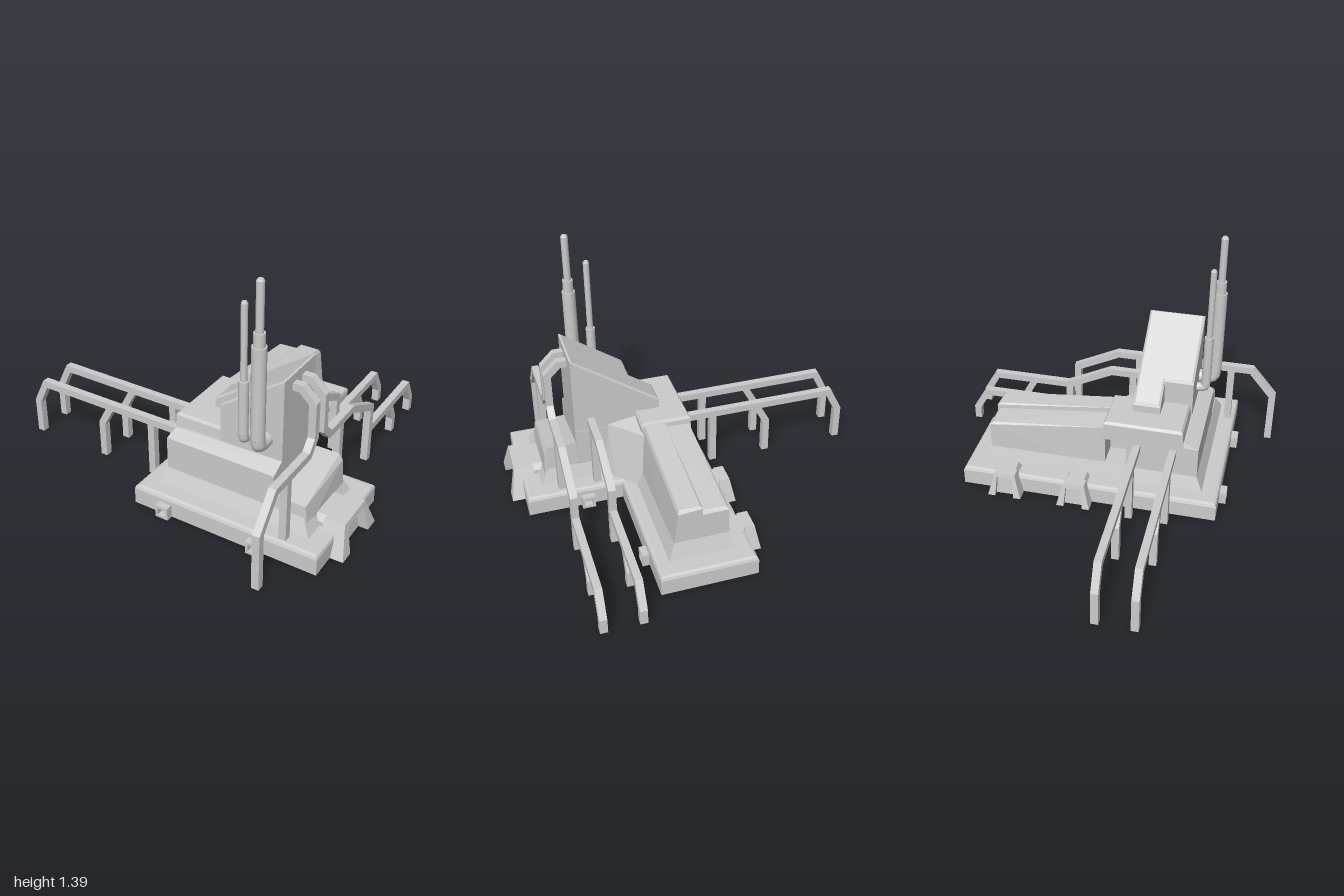
import * as THREE from 'three';
import { ConvexGeometry } from 'three/addons/geometries/ConvexGeometry.js';

const mat = new THREE.MeshStandardMaterial({ color: 0xcccccc, flatShading: true });
const smooth = new THREE.MeshStandardMaterial({ color: 0xcccccc });

export function createModel() {
  const root = new THREE.Group();
  const add = (name, geo, m = mat, parent = root) => {
    const mesh = new THREE.Mesh(geo, m);
    mesh.name = name;
    parent.add(mesh);
    return mesh;
  };
  const group = (name) => {
    const g = new THREE.Group();
    g.name = name;
    root.add(g);
    return g;
  };
  const hull = (name, pts, parent) =>
    add(name, new ConvexGeometry(pts.map((p) => new THREE.Vector3(...p))), mat, parent);
  // Horizontal rectangle of corners, used as one level of a hull
  const rect = (x0, x1, z0, z1, y) => [[x0, y, z0], [x1, y, z0], [x1, y, z1], [x0, y, z1]];
  const shapeOf = (pts) => new THREE.Shape(pts.map(([a, b]) => new THREE.Vector2(a, b)));

  // Square bar following a polyline with mitred corners, in the XY or the ZY plane
  const bar = (name, plane, at, path, parent, w = 0.04) => {
    const p = path.map(([a, b]) => new THREE.Vector2(a, b));
    const left = [], right = [];
    p.forEach((q, i) => {
      const a = q.clone().sub(p[Math.max(i - 1, 0)]).normalize();
      const b = p[Math.min(i + 1, p.length - 1)].clone().sub(q).normalize();
      const n1 = i ? new THREE.Vector2(-a.y, a.x) : new THREE.Vector2(-b.y, b.x);
      const n2 = i < p.length - 1 ? new THREE.Vector2(-b.y, b.x) : n1;
      const off = n1.clone().add(n2);
      off.multiplyScalar(w / off.dot(n1) / 2);
      left.push(q.clone().add(off));
      right.unshift(q.clone().sub(off));
    });
    const g = new THREE.ExtrudeGeometry(new THREE.Shape([...left, ...right]), { depth: w, bevelEnabled: false });
    g.translate(0, 0, -w / 2);
    if (plane === 'zy') g.rotateY(-Math.PI / 2).translate(at, 0, 0);
    else g.translate(0, 0, at);
    return add(name, g, mat, parent);
  };

  // L-shaped foundation slab
  const b = 0.02;
  const slab = new THREE.ExtrudeGeometry(
    shapeOf([[-0.12 + b, -0.69 + b], [0.93 - b, -0.69 + b], [0.93 - b, -0.03 - b], [0.4 - b, -0.03 - b],
      [0.4 - b, 0.76 - b], [-0.12 + b, 0.76 - b]]),
    { depth: 0.09, bevelEnabled: true, bevelSize: b, bevelThickness: b, bevelSegments: 2 });
  // Lower bevel is flattened onto the ground
  const sp = slab.attributes.position;
  for (let i = 0; i < sp.count; i++) sp.setZ(i, Math.max(sp.getZ(i), 0));
  slab.rotateX(-Math.PI / 2);
  add('foundation', slab);

  // Main body with flared foot
  hull('bodyFoot', [...rect(-0.03, 0.84, 0.13, 0.6, 0.1), ...rect(0, 0.79, 0.16, 0.56, 0.19)]);
  hull('body', [...rect(0, 0.62, 0.16, 0.56, 0.1), [0, 0.37, 0.56], [0.62, 0.37, 0.56],
    [0.01, 0.4, 0.49], [0.62, 0.41, 0.48], [0, 0.39, 0.16], [0.62, 0.41, 0.16]]);
  hull('bodyShoulder', [...rect(0, 0.28, 0.02, 0.48, 0.36), ...rect(0, 0.28, 0.03, 0.47, 0.46),
    ...rect(0.01, 0.27, 0.04, 0.46, 0.475)]);
  hull('sideAnnex', [...rect(0.6, 0.81, 0.16, 0.56, 0.12), [0.6, 0.26, 0.55], [0.79, 0.25, 0.55],
    [0.6, 0.33, 0.17], [0.78, 0.33, 0.17], [0.8, 0.3, 0.17]]);

  // Stepped tower with a slanted roof
  const roof = (x) => 0.865 - (0.62 - x) * 0.7;
  const wedge = (name, x0, z0, z1) => {
    const pts = rect(x0, 0.62, z0, z1, 0.35);
    for (const [x, dy, dz] of [[x0, 0.012, 0], [x0 + 0.01, 0, 0.012], [0.62, 0.012, 0], [0.61, 0.002, 0.012]])
      for (const z of [z0 + dz, z1 - dz]) pts.push([x, roof(x) - dy, z]);
    hull(name, pts);
  };
  wedge('towerRear', 0.14, 0.165, 0.32);
  wedge('towerFront', 0.27, 0.165, 0.48);

  // Rear wing: foot, low half and ridge half, both falling to the back
  hull('wingFoot', [...rect(-0.03, 0.33, -0.66, 0.2, 0.1), ...rect(0, 0.29, -0.625, 0.2, 0.2)]);
  hull('wingLowHalf', [...rect(0, 0.15, -0.625, 0.04, 0.12), ...rect(0, 0.15, -0.625, -0.61, 0.35),
    [0.01, 0.365, -0.61], [0.15, 0.37, -0.61], [0.01, 0.43, 0.04], [0.15, 0.44, 0.04]]);
  hull('wingRidge', [...rect(0.14, 0.3, -0.625, 0.18, 0.12), [0.14, 0.39, -0.625], [0.27, 0.38, -0.625],
    [0.15, 0.4, -0.61], [0.26, 0.4, -0.61], [0.15, 0.475, 0.1], [0.26, 0.475, 0.1], [0.27, 0.46, 0.18]]);
  hull('innerCornerFillet', [[0.26, 0.45, 0.17], [0.27, 0.42, 0], [0.27, 0.11, -0.05], [0.32, 0.11, -0.02],
    [0.42, 0.11, 0.08], [0.48, 0.11, 0.17], [0.44, 0.42, 0.17]]);

  // Right pipelines with supports
  const rightPipes = group('rightPipelines');
  for (const z of [0.22, 0.42]) {
    bar('pipeRail', 'xy', z, [[0.02, 0.33], [-0.915, 0.33], [-0.98, 0.2], [-0.98, 0]], rightPipes);
    bar('pipeSupport', 'xy', z, [[-0.19, 0.33], [-0.19, 0]], rightPipes);
    bar('pipeSupport', 'xy', z, [[-0.46, 0.32], [-0.52, 0.21], [-0.52, 0]], rightPipes);
  }

  // Left pipelines dropping out of the tower, then running front and back
  const leftPipes = group('leftPipelines');
  for (const z of [0.38, 0.285])
    bar('towerPipe', 'xy', z, [[0.58, 0.79], [0.665, 0.79], [0.73, 0.725], [0.73, 0.52]], leftPipes);
  bar('frontRail', 'zy', 0.73, [[0.38, 0.6], [0.38, 0.53], [0.44, 0.465], [0.765, 0.465], [0.9, 0.305], [0.9, 0]], leftPipes);
  bar('frontSupport', 'zy', 0.73, [[0.645, 0.465], [0.645, 0]], leftPipes);
  const down = [[-0.04, 0.465], [-0.295, 0.34], [-0.295, 0]];
  bar('rearRail', 'zy', 0.73, [[0.285, 0.6], [0.285, 0.53], [0.22, 0.465], ...down], leftPipes);
  bar('rearRail', 'zy', 0.53, [[0.18, 0.465], ...down], leftPipes);
  for (const x of [0.53, 0.73]) {
    bar('rearSupport', 'zy', x, [[0.09, 0.465], [0.09, 0]], leftPipes);
    bar('rearBranch', 'zy', x, [[-0.29, 0.2], [-0.825, 0.2], [-0.895, 0.08], [-0.895, 0]], leftPipes);
    bar('rearBranchSupport', 'zy', x, [[-0.575, 0.2], [-0.635, 0.09], [-0.635, 0]], leftPipes);
  }

  // Gate: splayed portal with a recessed panel, facing +x from the group origin
  const gate = (name, w, h, depth, x, z, turn) => {
    const g = group(name);
    const o = w / 2, t = o * 0.62;
    const geo = new THREE.ExtrudeGeometry(
      shapeOf([[-o, 0], [-t, h], [t, h], [o, 0], [t * 0.9, 0], [t * 0.75, h * 0.83], [-t * 0.75, h * 0.83], [-t * 0.9, 0]]),
      { depth, bevelEnabled: false });
    geo.rotateY(Math.PI / 2);
    // The outer face leans back toward the top
    const p = geo.attributes.position;
    for (let i = 0; i < p.count; i++)
      if (p.getX(i) > depth / 2) p.setX(i, p.getX(i) - p.getY(i) * 0.2);
    geo.computeVertexNormals();
    add('portal', geo, mat, g);
    hull('panel', [...rect(0, depth * 0.62, -t, t, 0), ...rect(0, depth * 0.5, -t * 0.8, t * 0.8, h * 0.9)], g);
    hull('housing', [...rect(-depth, depth * 0.4, -t, t, 0.02), ...rect(-depth, depth * 0.4, -t, t, h * 0.8),
      ...rect(-depth * 0.85, depth * 0.4, -t * 0.8, t * 0.8, h)], g);
    g.position.set(x, 0, z);
    g.rotation.y = turn;
  };
  gate('leftMainGate', 0.37, 0.165, 0.14, 0.86, 0.36, 0);
  gate('rightRearGate', 0.19, 0.14, 0.085, -0.11, -0.5, Math.PI);
  gate('rightFrontGate', 0.19, 0.14, 0.085, -0.11, -0.1, Math.PI);

  // Small framed vents on the slab walls
  const vent = (x, z, turn) => {
    const s = shapeOf([[-0.037, 0], [0.037, 0], [0.037, 0.07], [-0.037, 0.07]]);
    s.holes.push(new THREE.Path([[-0.022, 0.015], [-0.022, 0.055], [0.022, 0.055], [0.022, 0.015]]
      .map(([a, c]) => new THREE.Vector2(a, c))));
    const m = add('wallVent', new THREE.ExtrudeGeometry(s, { depth: 0.04, bevelEnabled: false }));
    m.position.set(x, 0, z);
    m.rotation.y = turn;
  };
  vent(0.07, 0.688, 0);
  vent(0.6, 0.688, 0);
  vent(0.6, 0.035, Math.PI);
  vent(0.398, -0.5, Math.PI / 2);

  // Chimneys: elbow out of the tower, then stacked pipes with slanted tops
  const chimney = (name, x, z, y0, stages) => {
    const g = group(name);
    const r = stages[0][0];
    const curve = new THREE.CatmullRomCurve3([[0.45, y0 + r], [z - r, y0 + r], [z - r * 0.25, y0 + r * 1.3], [z, y0 + r * 2.6]]
      .map(([cz, cy]) => new THREE.Vector3(x, cy, cz)));
    add('elbow', new THREE.TubeGeometry(curve, 12, r, 16), smooth, g);
    let y = y0 + r * 2.5;
    for (const [rad, top] of stages) {
      const geo = new THREE.CylinderGeometry(rad, rad, top - y, 16);
      add('pipe', geo, smooth, g).position.set(x, (top + y) / 2, z);
      y = top - 0.005;
    }
    // Bevelled cap over the top pipe
    const [rad] = stages[stages.length - 1];
    add('cap', new THREE.CylinderGeometry(rad * 0.7, rad, 0.012, 16), smooth, g).position.set(x, y + 0.008, z);
  };
  chimney('tallChimney', 0.53, 0.565, 0.475, [[0.037, 1.06], [0.029, 1.13], [0.02, 1.385]]);
  chimney('shortChimney', 0.43, 0.53, 0.475, [[0.026, 0.83], [0.017, 1.235]]);

  return root;
}
